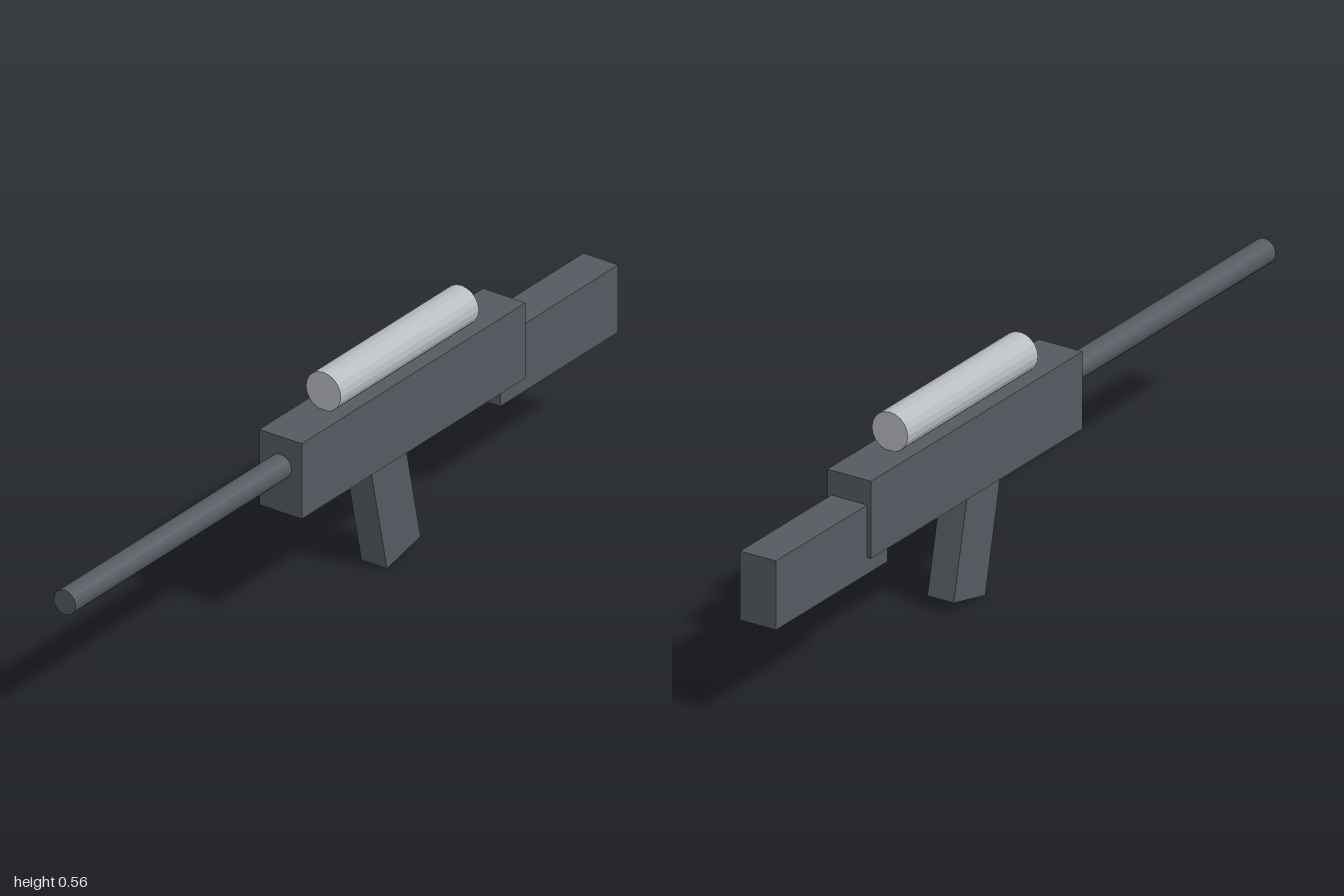
import * as THREE from 'three';

export function createModel() {
  const model = new THREE.Group();
  const gunmetal = new THREE.MeshStandardMaterial({ color: 0x555a61, flatShading: true });
  gunmetal.name = 'dark gunmetal';
  const silver = new THREE.MeshStandardMaterial({ color: 0xb8bbc0, flatShading: true });
  silver.name = 'light silver';

  const add = (name, geometry, material, y, z) => {
    const mesh = new THREE.Mesh(geometry, material);
    mesh.name = name;
    mesh.position.set(0, y, z);
    model.add(mesh);
    return mesh;
  };
  // Box and lengthwise tube spanning z0 to z1
  const block = (name, width, y0, y1, z0, z1) =>
    add(name, new THREE.BoxGeometry(width, y1 - y0, z1 - z0), gunmetal, (y0 + y1) / 2, (z0 + z1) / 2);
  const rod = (name, radius, y, z0, z1, material) =>
    add(name, new THREE.CylinderGeometry(radius, radius, z1 - z0, 20).rotateX(Math.PI / 2), material, y, (z0 + z1) / 2);

  block('receiver', 0.116, 0.277, 0.464, -0.64, 0.195);
  block('stock', 0.095, 0.237, 0.404, -1, -0.56);
  rod('barrel', 0.03, 0.39, 0.16, 1, gunmetal);
  rod('scope', 0.0475, 0.509, -0.48, 0.035, silver);

  // Raked grip, its top end buried in the receiver
  const tilt = 0.22, length = 0.32;
  const grip = add('grip', new THREE.BoxGeometry(0.07, length, 0.128), gunmetal,
    0.014 + Math.cos(tilt) * length / 2, -0.217 + Math.sin(tilt) * length / 2);
  grip.rotation.x = tilt;

  return model;
}
